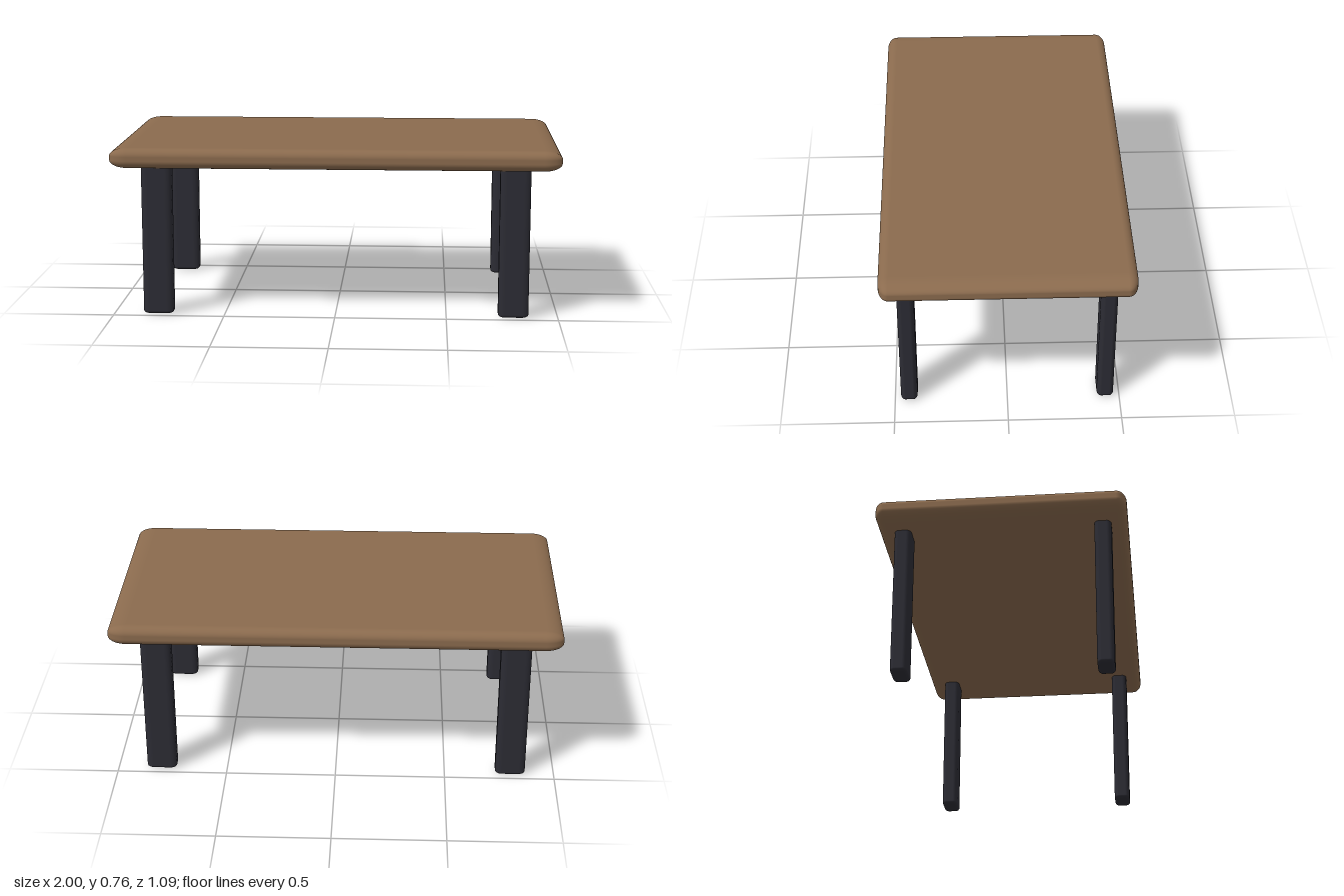
import * as THREE from 'three';
import { RoundedBoxGeometry } from 'three/addons/geometries/RoundedBoxGeometry.js';

// Rounded box whose corner radius differs along each axis
function softBox(size, radii) {
  const [w, h, d] = size.map((s, i) => s / radii[i]);
  return new RoundedBoxGeometry(w, h, d, 6, 1).scale(...radii);
}

export function createModel() {
  const table = new THREE.Group();
  table.name = 'table';

  const wood = new THREE.MeshStandardMaterial({ color: 0x8b6b4e });
  wood.name = 'brown wood';
  const dark = new THREE.MeshStandardMaterial({ color: 0x2c2c34 });
  dark.name = 'charcoal';

  // Tabletop with soft edges
  const top = new THREE.Mesh(softBox([2, 0.09, 1.09], [0.08, 0.036, 0.043]), wood);
  top.name = 'tabletop';
  top.position.y = 0.72;
  table.add(top);

  // Four wide, flat legs, set into the tabletop
  const legHeight = 0.7;
  const legGeometry = softBox([0.136, legHeight, 0.074], [0.03, 0.015, 0.02]);
  for (const [side, x] of [['Left', 0.8], ['Right', -0.8]]) {
    for (const [end, z] of [['front', 0.437], ['back', -0.437]]) {
      const leg = new THREE.Mesh(legGeometry, dark);
      leg.name = `${end}${side}Leg`;
      leg.position.set(x, legHeight / 2, z);
      table.add(leg);
    }
  }
  return table;
}
